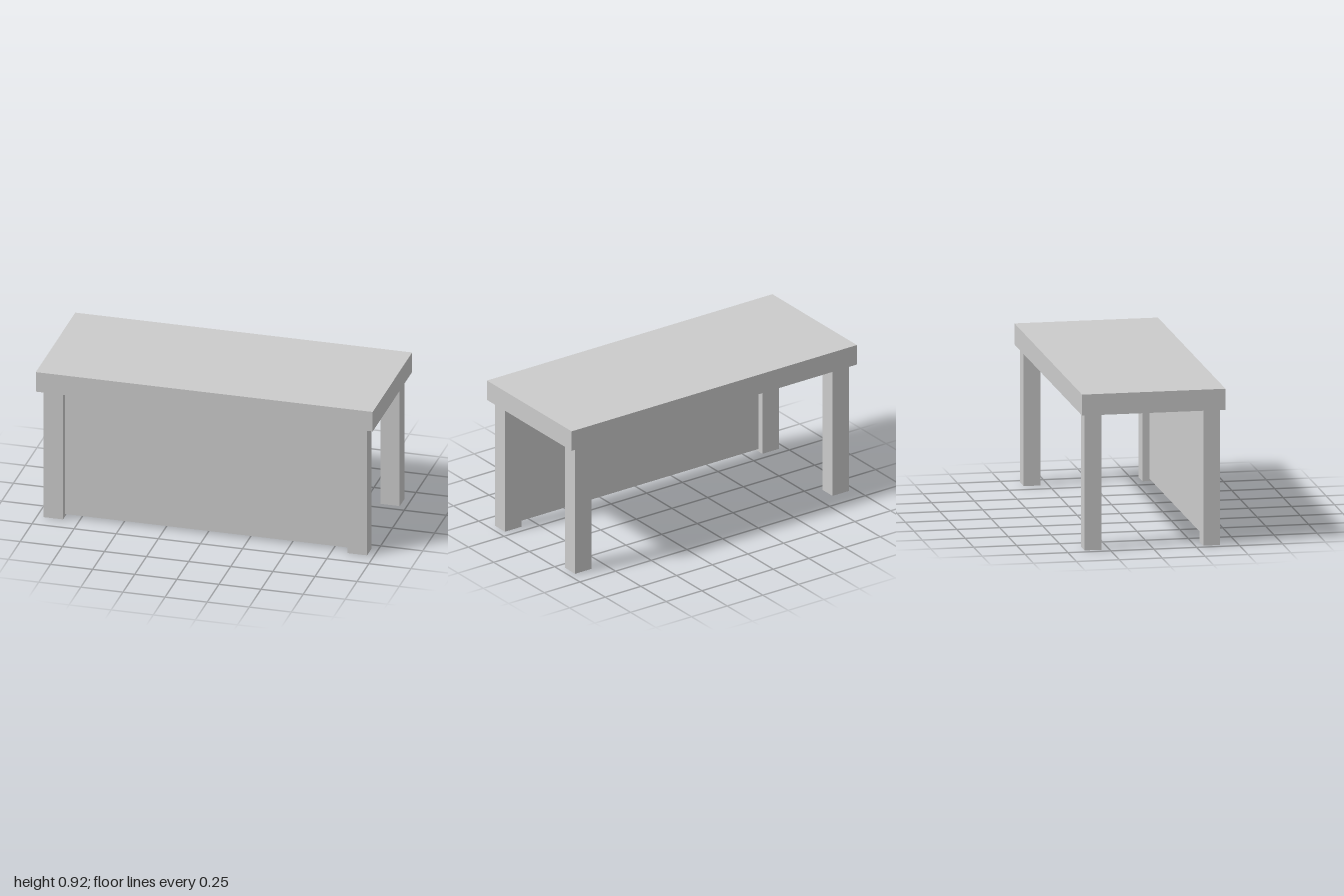
import * as THREE from 'three';

const TOP_Y = 0.92, UNDER_Y = 0.797, HALF_DEPTH = 0.418;
const LEG = { inX: 0.845, outX: 0.96, inZ: 0.297, outZ: 0.395 };

export function createModel() {
  const table = new THREE.Group();
  table.name = 'table';
  const solid = new THREE.MeshStandardMaterial({ color: 0xcccccc });
  const open = new THREE.MeshStandardMaterial({ color: 0xcccccc, side: THREE.DoubleSide });

  // Box given by its two opposite corners
  function addBox(name, min, max, material) {
    const size = max.map((v, i) => v - min[i]);
    const mesh = new THREE.Mesh(new THREE.BoxGeometry(...size), material);
    mesh.position.set(...max.map((v, i) => (v + min[i]) / 2));
    mesh.name = name;
    table.add(mesh);
    return mesh;
  }

  // Thick slab top
  addBox('tabletop', [-1, UNDER_Y, -HALF_DEPTH], [1, TOP_Y, HALF_DEPTH], solid);

  // Four hollow legs: the upper and lower end faces are left out
  for (const [sx, side] of [[1, 'Left'], [-1, 'Right']]) {
    for (const [sz, end] of [[1, 'front'], [-1, 'back']]) {
      const x = [sx * LEG.inX, sx * LEG.outX].sort((a, b) => a - b);
      const z = [sz * LEG.inZ, sz * LEG.outZ].sort((a, b) => a - b);
      const leg = addBox(`${end}${side}Leg`, [x[0], 0, z[0]], [x[1], UNDER_Y, z[1]], open);
      const index = Array.from(leg.geometry.index.array);
      index.splice(12, 12);
      leg.geometry.setIndex(index);
      leg.geometry.clearGroups();
    }
  }

  // Thin modesty panel set back between the front legs
  addBox('frontPanel', [-LEG.inX, 0.015, 0.337], [LEG.inX, UNDER_Y, 0.352], solid);

  return table;
}
